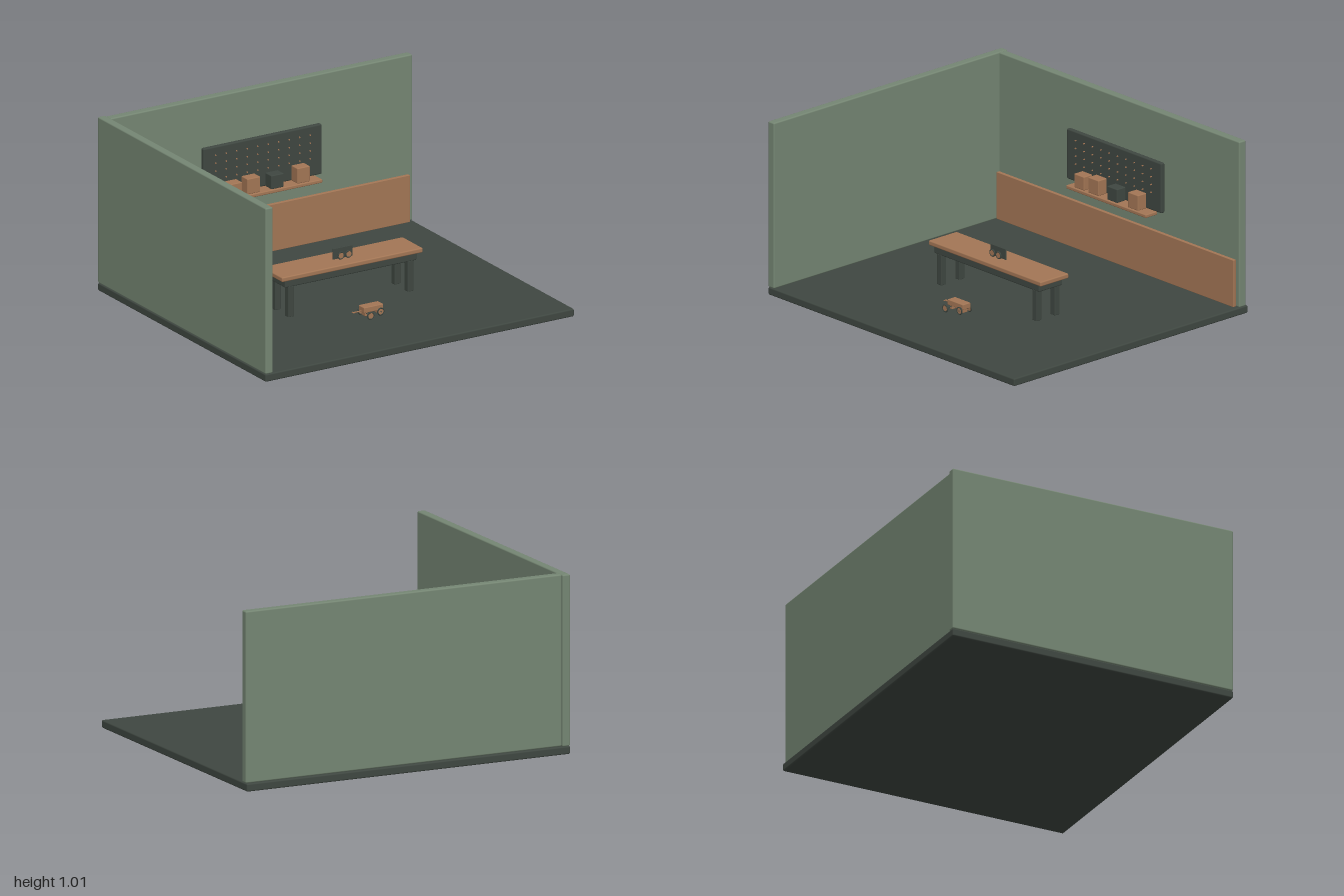
import * as THREE from 'three';
import { RoundedBoxGeometry } from 'three/addons/geometries/RoundedBoxGeometry.js';

export function createModel() {
  const room = new THREE.Group();
  room.name = 'workshopRoom';

  const paint = (name, color) => {
    const m = new THREE.MeshStandardMaterial({ color });
    m.name = name;
    return m;
  };
  const green = paint('sageGreen', 0x758673);
  const dark = paint('charcoalGreen', 0x3f4741);
  const wood = paint('warmWood', 0xa37655);

  const add = (parent, name, geometry, material, x = 0, y = 0, z = 0) => {
    const mesh = new THREE.Mesh(geometry, material);
    mesh.name = name;
    mesh.position.set(x, y, z);
    parent.add(mesh);
    return mesh;
  };
  // Softly bevelled box given by its extents on each axis
  const box = (parent, name, material, [x0, x1], [y0, y1], [z0, z1], bevel = 0.005) => {
    const w = x1 - x0, h = y1 - y0, d = z1 - z0;
    const r = Math.min(bevel, Math.min(w, h, d) * 0.3);
    return add(parent, name, new RoundedBoxGeometry(w, h, d, 2, r), material,
      (x0 + x1) / 2, (y0 + y1) / 2, (z0 + z1) / 2);
  };
  const section = (name) => {
    const g = new THREE.Group();
    g.name = name;
    room.add(g);
    return g;
  };
  // Thin wheel facing z: dark tyre around a wooden disc
  const wheel = (parent, x, y, z) => {
    const g = new THREE.Group();
    g.name = 'wheel';
    g.position.set(x, y, z);
    add(g, 'tyre', new THREE.TorusGeometry(0.019, 0.004, 8, 24), dark);
    add(g, 'wheelDisc', new THREE.CylinderGeometry(0.017, 0.017, 0.005, 24).rotateX(Math.PI / 2), wood);
    parent.add(g);
  };

  // Floor and walls
  box(room, 'floor', dark, [-1, 1], [0, 0.045], [-0.872, 0.872], 0.008);
  box(room, 'sideWall', green, [-1, -0.952], [0.045, 1.015], [-0.872, 0.872], 0.008);
  box(room, 'backWall', green, [-0.955, 1], [0.045, 1.015], [-0.857, -0.808], 0.008);
  box(room, 'woodPanelling', wood, [-0.952, 0.972], [0.045, 0.32], [-0.809, -0.788], 0.003);

  // Pegboard with rows of little pegs
  const pegboard = section('pegboard');
  box(pegboard, 'board', dark, [-0.372, 0.396], [0.44, 0.733], [-0.807, -0.779], 0.008);
  const pegShape = new THREE.CylinderGeometry(0.004, 0.004, 0.01, 8).rotateX(Math.PI / 2);
  for (let row = 0; row < 4; row++) {
    for (let col = 0; col < 10; col++) {
      add(pegboard, 'peg', pegShape, wood, -0.295 + col * 0.068, 0.545 + row * 0.046, -0.777);
    }
  }

  // Shelf and its storage boxes
  const shelf = section('shelf');
  box(shelf, 'shelfBoard', wood, [-0.296, 0.353], [0.42, 0.44], [-0.79, -0.704]);
  const boxes = [
    [-0.242, -0.161, 0.52, wood], [-0.128, -0.043, 0.53, wood],
    [0.027, 0.109, 0.52, dark], [0.196, 0.278, 0.53, wood],
  ];
  for (const [x0, x1, top, material] of boxes) {
    box(shelf, 'storageBox', material, [x0, x1], [0.44, top], [-0.779, -0.714]);
  }

  // Workbench
  const bench = section('workbench');
  box(bench, 'benchTop', wood, [-0.457, 0.455], [0.263, 0.291], [-0.036, 0.174], 0.007);
  box(bench, 'benchApron', dark, [-0.428, 0.425], [0.22, 0.264], [-0.018, 0.158], 0.007);
  for (const x of [-0.388, 0.386]) {
    for (const z of [0.003, 0.139]) {
      box(bench, 'benchLeg', dark, [x - 0.019, x + 0.019], [0.043, 0.225], [z - 0.019, z + 0.019]);
    }
  }

  // Small upright plate with two wheels on the bench
  const display = section('wheelDisplay');
  box(display, 'displayPlate', dark, [-0.064, 0.062], [0.288, 0.353], [0.066, 0.074], 0.002);
  for (const x of [-0.026, 0.024]) wheel(display, x, 0.314, 0.093);

  // Toy wagon, with one wheel lying loose to the side
  const wagon = section('toyWagon');
  box(wagon, 'wagonBody', wood, [-0.064, 0.062], [0.075, 0.107], [0.336, 0.394], 0.004);
  for (const x of [-0.043, 0.041]) {
    box(wagon, 'axleBlock', wood, [x - 0.009, x + 0.009], [0.052, 0.077], [0.346, 0.386], 0.003);
    add(wagon, 'axle', new THREE.CylinderGeometry(0.003, 0.003, 0.08, 8).rotateX(Math.PI / 2),
      dark, x, 0.068, 0.366);
  }
  wheel(wagon, -0.043, 0.068, 0.328);
  wheel(wagon, 0.041, 0.068, 0.328);
  wheel(wagon, 0.041, 0.068, 0.399);
  wheel(wagon, -0.043, 0.068, 0.429);
  add(wagon, 'pullBar', new THREE.CylinderGeometry(0.004, 0.004, 0.056, 8).rotateZ(Math.PI / 2),
    wood, -0.088, 0.079, 0.362);
  add(wagon, 'pullGrip', new THREE.CylinderGeometry(0.003, 0.003, 0.02, 8).rotateX(Math.PI / 2),
    wood, -0.115, 0.079, 0.362);

  return room;
}
